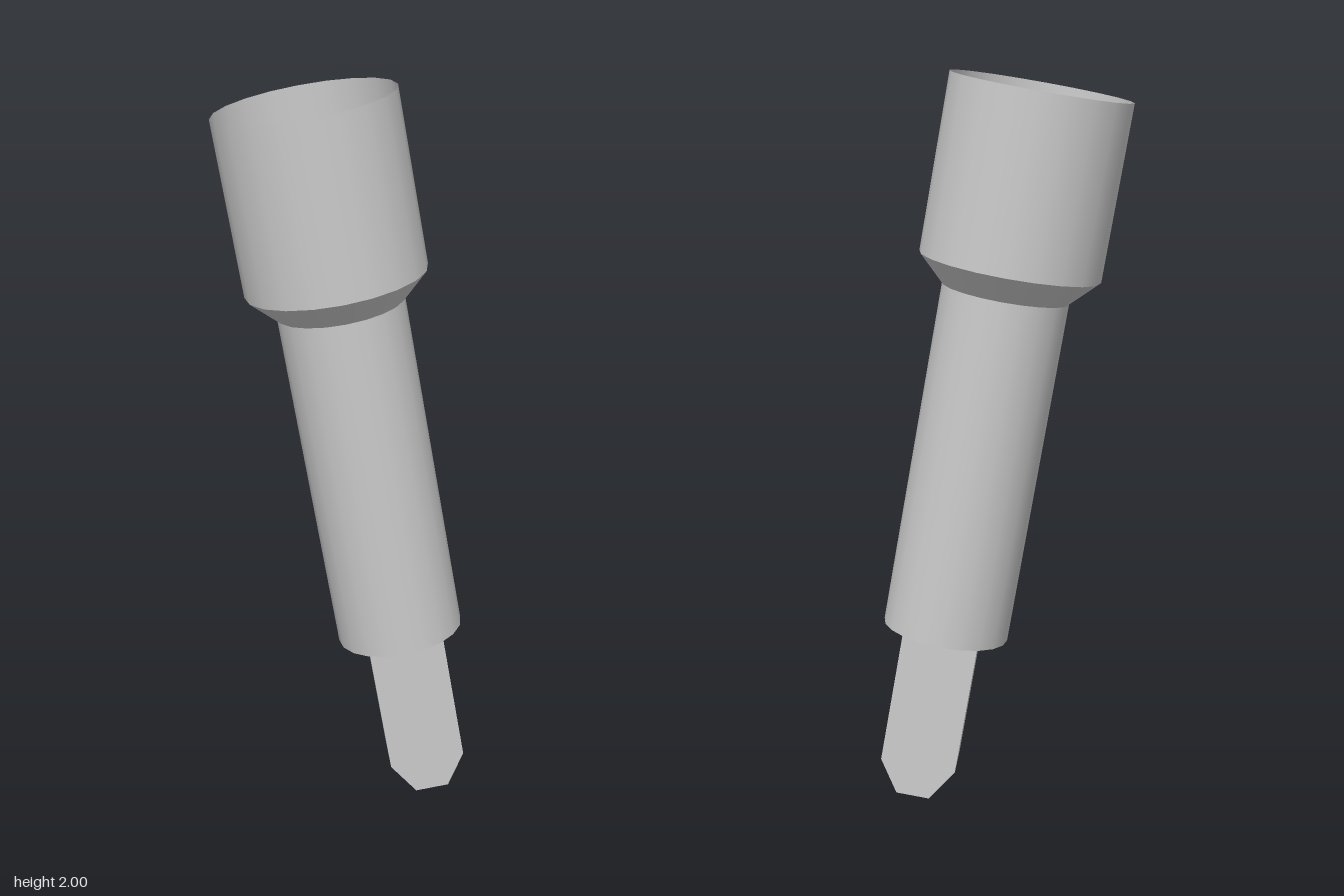
import * as THREE from 'three';

const SIDES = 20;

export function createModel() {
  const model = new THREE.Group();
  model.name = 'tool';
  const material = new THREE.MeshStandardMaterial({ color: 0xcccccc, side: THREE.DoubleSide });

  // Everything is built upright around y, then leaned as one piece.
  const tilted = new THREE.Group();
  tilted.name = 'tiltedBody';
  tilted.position.set(0.162, 0.47, 0);
  tilted.rotation.z = THREE.MathUtils.degToRad(10);
  model.add(tilted);

  const add = (name, geometry, mat = material) => {
    const mesh = new THREE.Mesh(geometry, mat);
    mesh.name = name;
    tilted.add(mesh);
    return mesh;
  };

  // Thin open shells: barrel, flared collar, cup
  const shell = (name, rTop, rBottom, y0, y1) => {
    const mesh = add(name, new THREE.CylinderGeometry(rTop, rBottom, y1 - y0, SIDES, 1, true));
    mesh.position.y = (y0 + y1) / 2;
  };
  shell('barrel', 0.173, 0.173, 0, 0.955);
  shell('collar', 0.247, 0.173, 0.955, 1.028);
  shell('cup', 0.247, 0.247, 1.028, 1.51);

  // Disc closing the lower end of the barrel
  add('barrelFloor', new THREE.CircleGeometry(0.173, SIDES).rotateX(Math.PI / 2));

  // Blade with a chamfered tip; its upper end is open and reaches just inside the barrel
  const top = 0.056, depth = 0.174;
  const outline = [[-0.104, top], [-0.104, -0.378], [-0.046, -0.467], [0.046, -0.467], [0.104, -0.378], [0.104, top]];
  const shape = new THREE.Shape(outline.map(([x, y]) => new THREE.Vector2(x + 0.007, y)));
  const solid = new THREE.ExtrudeGeometry(shape, { depth, bevelEnabled: false }).translate(0, 0, -depth / 2);
  const p = solid.attributes.position;
  const kept = [];
  for (let i = 0; i < p.count; i += 3) {
    const isCap = [0, 1, 2].every((k) => p.getY(i + k) > top - 1e-4);
    if (!isCap) kept.push(i, i + 1, i + 2);
  }
  solid.clearGroups();
  solid.setIndex(kept);
  add('blade', solid);

  return model;
}
